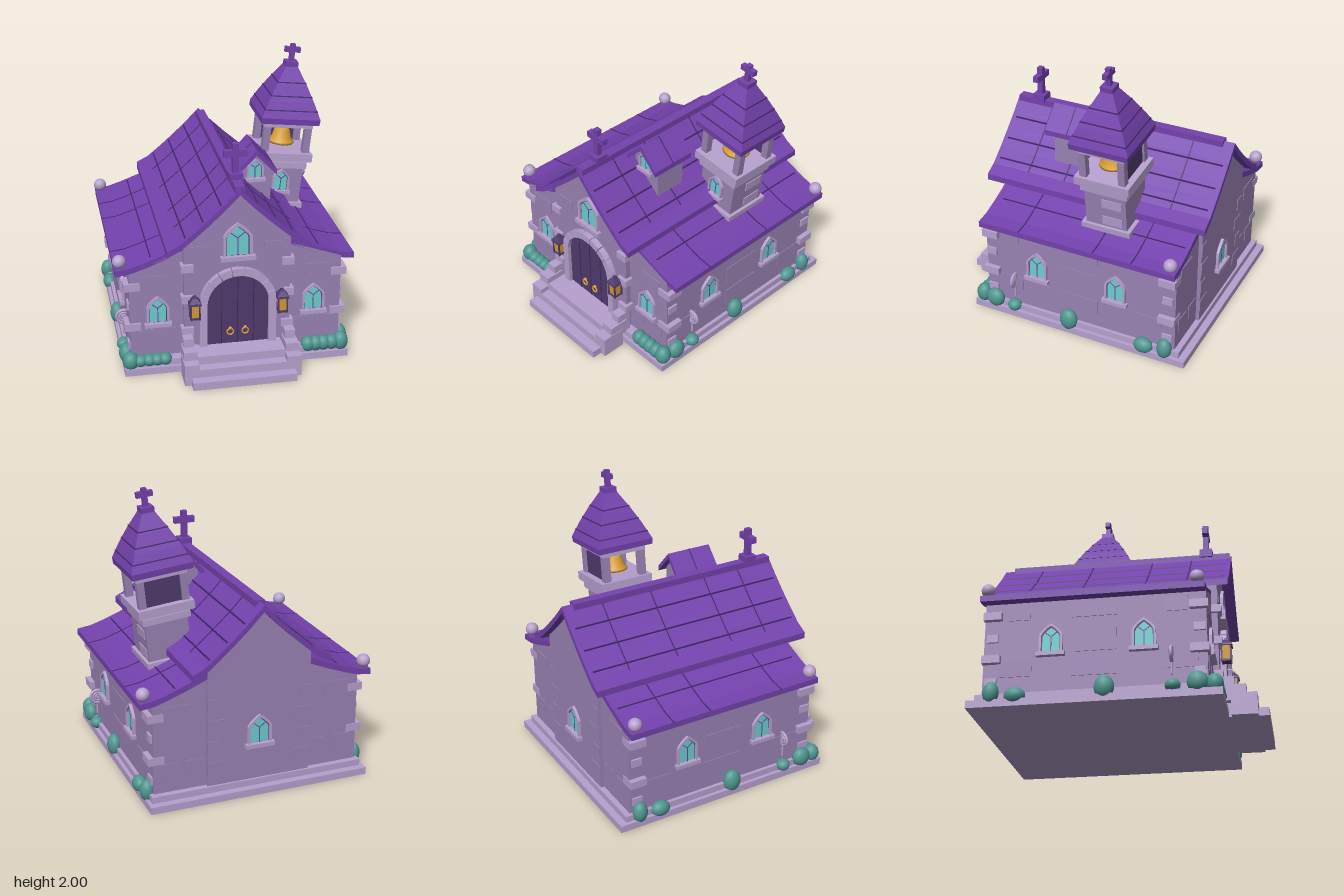
import * as THREE from 'three';

const mat = (name, color) => { const m = new THREE.MeshStandardMaterial({ color }); m.name = name; return m; };

export function createModel() {
  const wall = mat('wall stone', 0x9a83b4), trim = mat('pale stone', 0xb7a1cf), roof = mat('roof tile', 0x7342ad);
  const seam = mat('tile seam', 0x44276c), dark = mat('dark wood', 0x503a6c), glass = mat('glass', 0x6cd0cf);
  const leaf = mat('leaf', 0x4f9790), gold = mat('gold', 0xd9a035);
  const root = new THREE.Group();
  root.name = 'chapel';

  const add = (parent, name, geo, m, x = 0, y = 0, z = 0) => {
    const mesh = new THREE.Mesh(geo, m);
    mesh.name = name;
    mesh.position.set(x, y, z);
    parent.add(mesh);
    return mesh;
  };
  const group = (parent, name, x = 0, y = 0, z = 0) => {
    const g = new THREE.Group();
    g.name = name;
    g.position.set(x, y, z);
    parent.add(g);
    return g;
  };
  // box given by its limits
  const box = (p, name, m, x0, x1, y0, y1, z0, z1) =>
    add(p, name, new THREE.BoxGeometry(x1 - x0, y1 - y0, z1 - z0), m, (x0 + x1) / 2, (y0 + y1) / 2, (z0 + z1) / 2);
  const polygon = pts => new THREE.Shape(pts.map(p => new THREE.Vector2(p[0], p[1])));
  const prism = (p, name, m, shape, z0, z1) =>
    add(p, name, new THREE.ExtrudeGeometry(shape, { depth: z1 - z0, bevelEnabled: false, curveSegments: 10 }), m, 0, 0, z0);
  // curved band below a profile line
  const band = (pts, s, up, down) => polygon([
    ...pts.map(([x, y]) => [x * s, y + up]), ...pts.slice().reverse().map(([x, y]) => [x * s, y - down])]);
  const heightAt = (pts, x) => {
    const i = Math.max(1, pts.findIndex(p => p[0] >= x)), [a, b] = [pts[i - 1], pts[i]];
    return a[1] + (b[1] - a[1]) * (x - a[0]) / (b[0] - a[0]);
  };
  // four-sided lathe with flat faces; radii are half widths
  const square = pts => {
    const g = new THREE.LatheGeometry(pts.map(p => new THREE.Vector2(p[0] * Math.SQRT2, p[1])), 4, Math.PI / 4).toNonIndexed();
    g.computeVertexNormals();
    return g;
  };

  // pointed window on a sill, facing +z
  const ogive = (w, h, y = 0) => {
    const s = new THREE.Shape();
    s.moveTo(-w / 2, y);
    s.lineTo(w / 2, y);
    s.lineTo(w / 2, y + h * 0.62);
    s.quadraticCurveTo(w * 0.42, y + h * 0.8, 0, y + h);
    s.quadraticCurveTo(-w * 0.42, y + h * 0.8, -w / 2, y + h * 0.62);
    return s;
  };
  const makeWindow = (parent, x, y, z, turn, w, h) => {
    const g = group(parent, 'window', x, y, z);
    g.rotation.y = turn;
    const t = w * 0.1, frame = ogive(w, h);
    frame.holes.push(ogive(w - 2 * t, h - 2.2 * t, t));
    prism(g, 'windowFrame', trim, frame, -0.01, 0.02);
    prism(g, 'windowRim', dark, ogive(w - 2 * t, h - 2.2 * t, t), -0.005, 0.003);
    prism(g, 'windowGlass', glass, ogive(w - 2.7 * t, h - 3 * t, t * 1.3), 0.001, 0.007);
    box(g, 'windowMullion', roof, -0.003, 0.003, t, h * 0.6, 0, 0.01);
    for (const s of [-1, 1]) {
      const bar = box(g, 'windowTracery', roof, -0.003, 0.003, 0, w * 0.42, 0, 0.01);
      bar.rotation.z = s * 0.9;
      bar.position.set(-s * w * 0.17, h * 0.68, 0.005);
    }
    box(g, 'windowSill', trim, -w * 0.6, w * 0.6, -0.01, t * 1.1, -0.01, 0.035);
  };
  const cross = (parent, x, y, z, h, arm, t) => {
    const g = group(parent, 'cross', x, y, z);
    box(g, 'crossBase', roof, -0.045, 0.045, -0.03, 0.03, -0.045, 0.045);
    box(g, 'crossPost', roof, -t, t, 0, h, -t, t);
    box(g, 'crossArm', roof, -arm, arm, h * 0.61, h * 0.61 + 2.2 * t, -t * 1.05, t * 1.05);
  };

  // plinth and steps
  box(root, 'baseSlab', trim, -0.78, 0.78, 0, 0.05, -0.94, 0.68);
  box(root, 'plinth', trim, -0.755, 0.755, 0.05, 0.095, -0.89, 0.66);
  box(root, 'bottomStep', trim, -0.355, 0.355, 0, 0.055, 0.6, 0.94);
  box(root, 'middleStep', trim, -0.345, 0.345, 0.055, 0.112, 0.6, 0.87);
  box(root, 'topStep', trim, -0.3, 0.3, 0.112, 0.17, 0.6, 0.8);
  for (const s of [-1, 1]) {
    const cheek = group(root, 'stepCheek', s * 0.35);
    box(cheek, 'cheekLow', trim, -0.05, 0.05, 0.0, 0.15, 0.7, 0.87);
    box(cheek, 'cheekMiddle', trim, -0.045, 0.045, 0.1, 0.21, 0.66, 0.8);
    box(cheek, 'cheekHigh', trim, -0.035, 0.035, 0.1, 0.27, 0.62, 0.725);
  }

  // walls
  const high = [[0, 1.335], [0.1, 1.232], [0.2, 1.138], [0.3, 1.05], [0.4, 0.968], [0.485, 0.925]];
  const low = [[0.34, 0.91], [0.5, 0.845], [0.62, 0.8], [0.72, 0.768], [0.82, 0.755]];
  prism(root, 'wingWalls', wall, polygon([[-0.73, 0.08], [0.73, 0.08], [0.73, 0.74], [0.36, 0.87], [-0.36, 0.87], [-0.73, 0.74]]), -0.85, 0.59);
  prism(root, 'naveWalls', wall, polygon([[-0.365, 0.08], [0.365, 0.08], [0.365, 0.965], [0.2, 1.11], [0, 1.3], [-0.2, 1.11], [-0.365, 0.965]]), -0.875, 0.63);

  // roofs with seams between the tiles
  for (const s of [-1, 1]) {
    prism(root, 'naveRoof', roof, band(high, s, 0, 0.045), -0.935, 0.712);
    prism(root, 'wingRoof', roof, band(low, s, 0, 0.042), -0.87, 0.59);
    for (const z of [-0.65, -0.28, 0.15, 0.43]) prism(root, 'naveRoofSeam', seam, band(high.slice(0, 5), s, 0.004, 0.01), z - 0.004, z + 0.004);
    for (const z of [-0.56, -0.28, 0.28]) prism(root, 'wingRoofSeam', seam, band(low, s, 0.003, 0.01), z - 0.004, z + 0.004);
    for (const x of [0.12, 0.24, 0.36]) {
      const y = heightAt(high, x);
      box(root, 'naveRoofCourse', seam, s * x - 0.004, s * x + 0.004, y - 0.01, y + 0.005, -0.9, 0.68);
    }
    const y = heightAt(low, 0.575);
    box(root, 'wingRoofCourse', seam, s * 0.575 - 0.004, s * 0.575 + 0.004, y - 0.01, y + 0.004, -0.84, 0.54);
  }
  box(root, 'ridge', roof, -0.033, 0.033, 1.29, 1.345, -0.86, 0.7);
  cross(root, 0, 1.355, 0.535, 0.23, 0.078, 0.02);
  for (const [x, z] of [[-0.785, -0.825], [0.785, -0.825], [-0.785, 0.54]])
    add(root, 'eaveBall', new THREE.SphereGeometry(0.046, 20, 14), trim, x, 0.802, z);

  // corner stones and raised wall stones
  for (const s of [-1, 1]) {
    for (const z of [0.54, -0.8]) [0.63, 0.48, 0.33, 0.18].forEach((y, i) => {
      const w = i % 2 ? 0.032 : 0.055;
      box(root, 'cornerStone', trim, s * 0.712 - w, s * 0.712 + w, y - 0.027, y + 0.027, z - w, z + w + 0.01);
    });
    for (const y of [0.76, 0.53, 0.29])
      box(root, 'naveCornerStone', trim, s * 0.345 - 0.042, s * 0.345 + 0.042, y - 0.027, y + 0.027, 0.57, 0.655);
    for (const [z, y, w, h] of [[0.4, 0.65, 0.14, 0.1], [-0.13, 0.65, 0.29, 0.1], [-0.62, 0.65, 0.14, 0.1],
      [-0.13, 0.435, 0.29, 0.15], [0.42, 0.26, 0.22, 0.1], [-0.13, 0.25, 0.29, 0.11], [-0.64, 0.26, 0.22, 0.1]])
      box(root, 'wallStone', wall, s * 0.731 - 0.004, s * 0.731 + 0.004, y - h / 2, y + h / 2, z - w / 2, z + w / 2);
    for (const [x, y, w] of [[0.57, 0.65, 0.18], [0.45, 0.25, 0.12], [0.62, 0.25, 0.12]])
      for (const z of [0.591, -0.851]) box(root, 'wallStone', wall, s * x - w / 2, s * x + w / 2, y - 0.05, y + 0.05, z - 0.004, z + 0.004);
    for (const [y, w] of [[0.22, 0.12], [0.37, 0.08], [0.52, 0.12], [0.67, 0.08]])
      box(root, 'backStone', wall, s * 0.365 - (s > 0 ? w : 0), s * 0.365 + (s > 0 ? 0 : w), y - 0.045, y + 0.045, -0.88, -0.87);
    box(root, 'gableStone', wall, s * 0.25 - 0.07, s * 0.25 + 0.07, 0.83, 0.91, 0.628, 0.635);
  }

  // windows
  makeWindow(root, 0, 0.805, 0.63, 0, 0.2, 0.26);
  makeWindow(root, 0, 0.34, -0.875, Math.PI, 0.17, 0.22);
  for (const s of [-1, 1]) {
    makeWindow(root, s * 0.54, 0.335, 0.59, 0, 0.155, 0.215);
    for (const z of [0.19, -0.41]) makeWindow(root, s * 0.73, 0.345, z, s * Math.PI / 2, 0.155, 0.215);
  }

  // arched door
  const arch = new THREE.Shape();
  arch.moveTo(-0.215, 0.17);
  arch.lineTo(0.215, 0.17);
  arch.lineTo(0.215, 0.475);
  arch.absarc(0, 0.475, 0.215, 0, Math.PI, false);
  prism(root, 'door', dark, arch, 0.62, 0.643);
  for (const x of [-0.11, 0, 0.11]) box(root, 'doorGroove', seam, x - 0.003, x + 0.003, 0.17, x ? 0.65 : 0.688, 0.64, 0.646);
  for (let i = 0; i < 9; i++) {
    const a = i * Math.PI / 9 + 0.012, b = (i + 1) * Math.PI / 9 - 0.012, v = new THREE.Shape();
    v.absarc(0, 0.475, 0.265, a, b, false);
    v.absarc(0, 0.475, 0.212, b, a, true);
    prism(root, 'archStone', trim, v, 0.6, 0.672);
  }
  for (const s of [-1, 1]) {
    box(root, 'doorJamb', trim, s * 0.238 - 0.026, s * 0.238 + 0.026, 0.17, 0.475, 0.6, 0.67);
    add(root, 'doorRing', new THREE.TorusGeometry(0.022, 0.006, 8, 20), gold, s * 0.052, 0.262, 0.654);
    add(root, 'doorKnob', new THREE.SphereGeometry(0.012, 10, 8), gold, s * 0.052, 0.287, 0.652);

    // lantern
    const l = group(root, 'lantern', s * 0.3, 0.4, 0.675);
    add(l, 'lanternGlow', square([[0, 0.01], [0.026, 0.01], [0.033, 0.115], [0, 0.115]]), gold);
    add(l, 'lanternFoot', square([[0, 0], [0.03, 0], [0.03, 0.016], [0, 0.016]]), dark);
    add(l, 'lanternCap', square([[0, 0.11], [0.043, 0.11], [0.04, 0.125], [0.015, 0.155], [0.01, 0.17], [0, 0.17]]), dark);
    for (const x of [-0.03, 0.03]) for (const z of [-0.03, 0.03]) box(l, 'lanternPost', dark, x - 0.005, x + 0.005, 0, 0.115, z - 0.005, z + 0.005);
    box(l, 'lanternBracket', dark, -0.008, 0.008, 0.11, 0.13, -0.06, 0);

    // spiral ornament on a stick
    const o = group(root, 'spiralOrnament', s * 0.75, 0.295, 0.365);
    for (const r of [0.048, 0.029, 0.011]) add(o, 'spiralRing', new THREE.TorusGeometry(r, 0.011, 8, 28), trim);
    add(o, 'spiralDisc', new THREE.CylinderGeometry(0.05, 0.05, 0.012, 28), trim).rotation.x = Math.PI / 2;
    add(o, 'spiralStick', new THREE.CylinderGeometry(0.008, 0.008, 0.09, 8), trim, 0, -0.09, 0);
  }

  // bushes: x, y, z, width, height
  const bushes = [[-0.735, 0.09, 0.63, 0.055, 0.065], [0.735, 0.1, 0.63, 0.055, 0.07]];
  for (const x of [0.5, 0.555, 0.61, 0.67]) bushes.push([-x, 0.09, 0.635, 0.048, 0.042], [x, 0.1, 0.635, 0.05, 0.055]);
  for (const [z, y, w, h] of [[0.525, 0.1, 0.068, 0.07], [0.37, 0.085, 0.05, 0.043], [-0.06, 0.1, 0.065, 0.08], [-0.63, 0.075, 0.07, 0.055], [-0.785, 0.1, 0.053, 0.075]])
    for (const s of [-1, 1]) bushes.push([s * 0.755, y, z, w, h]);
  for (const [x, y, z, w, h] of bushes)
    add(root, 'bush', new THREE.SphereGeometry(1, 16, 12), leaf, x, y, z).scale.set(Math.abs(x) > 0.75 ? 0.05 : w, h, w);

  // dormer
  const d = group(root, 'dormer', 0.19);
  prism(d, 'dormerWall', wall, polygon([[-0.11, 1.04], [0.11, 1.04], [0.11, 1.305], [0, 1.415], [-0.11, 1.305]]), 0.04, 0.27);
  const dormerLine = [[0, 1.44], [0.142, 1.295]];
  for (const s of [-1, 1]) {
    prism(d, 'dormerRoof', roof, band(dormerLine, s, 0, 0.038), -0.01, 0.325);
    prism(d, 'dormerSeam', seam, band(dormerLine, s, 0.003, 0.01), 0.156, 0.163);
  }
  makeWindow(d, 0, 1.215, 0.27, 0, 0.115, 0.15);

  // leaning bell tower
  const t = group(root, 'bellTower', 0.45, 0.82, -0.28);
  t.rotation.z = -0.107;
  box(t, 'towerBody', wall, -0.15, 0.15, -0.03, 0.4, -0.15, 0.15);
  box(t, 'towerFoot', trim, -0.172, 0.172, 0, 0.04, -0.178, 0.178);
  box(t, 'lowerLedge', trim, -0.168, 0.168, 0.305, 0.35, -0.172, 0.172);
  box(t, 'upperLedge', trim, -0.195, 0.195, 0.365, 0.425, -0.198, 0.198);
  for (const s of [-1, 1]) for (const y of [0.09, 0.225])
    box(t, 'towerStone', trim, s * 0.151 - 0.005, s * 0.151 + 0.005, y - 0.033, y + 0.033, -0.12, 0.025);
  for (const x of [-0.15, 0.15]) for (const z of [-0.14, 0.14])
    box(t, 'belfryPost', wall, x - 0.025, x + 0.025, 0.42, 0.63, z - 0.025, z + 0.025);
  box(t, 'belfryBack', dark, -0.13, 0.13, 0.42, 0.63, -0.15, -0.135);
  box(t, 'belfryLintel', trim, -0.178, 0.178, 0.61, 0.655, -0.168, 0.168);
  makeWindow(t, -0.005, 0.12, 0.15, 0, 0.125, 0.175);
  const bell = [[0, 0.45], [0.075, 0.45], [0.095, 0.452], [0.092, 0.468], [0.07, 0.49], [0.058, 0.54], [0.042, 0.568], [0, 0.578]];
  add(t, 'bell', new THREE.LatheGeometry(bell.map(p => new THREE.Vector2(p[0], p[1])), 28), gold);
  add(t, 'bellClapper', new THREE.SphereGeometry(0.02, 12, 8), gold, 0, 0.445, 0);
  add(t, 'bellRod', new THREE.CylinderGeometry(0.007, 0.007, 0.07, 8), gold, 0, 0.6, 0);
  add(t, 'towerRoof', square([[0, 0.648], [0.21, 0.648], [0.213, 0.69], [0.165, 0.8], [0.11, 0.91], [0.042, 1.03], [0, 1.03]]), roof);
  for (const [r, y] of [[0.189, 0.745], [0.147, 0.837], [0.102, 0.925]])
    add(t, 'towerRoofSeam', square([[r, y - 0.004], [r + 0.004, y - 0.004], [r + 0.002, y + 0.003], [r - 0.004, y + 0.003]]), seam);
  cross(t, 0, 1.03, 0, 0.152, 0.056, 0.017);
  return root;
}
